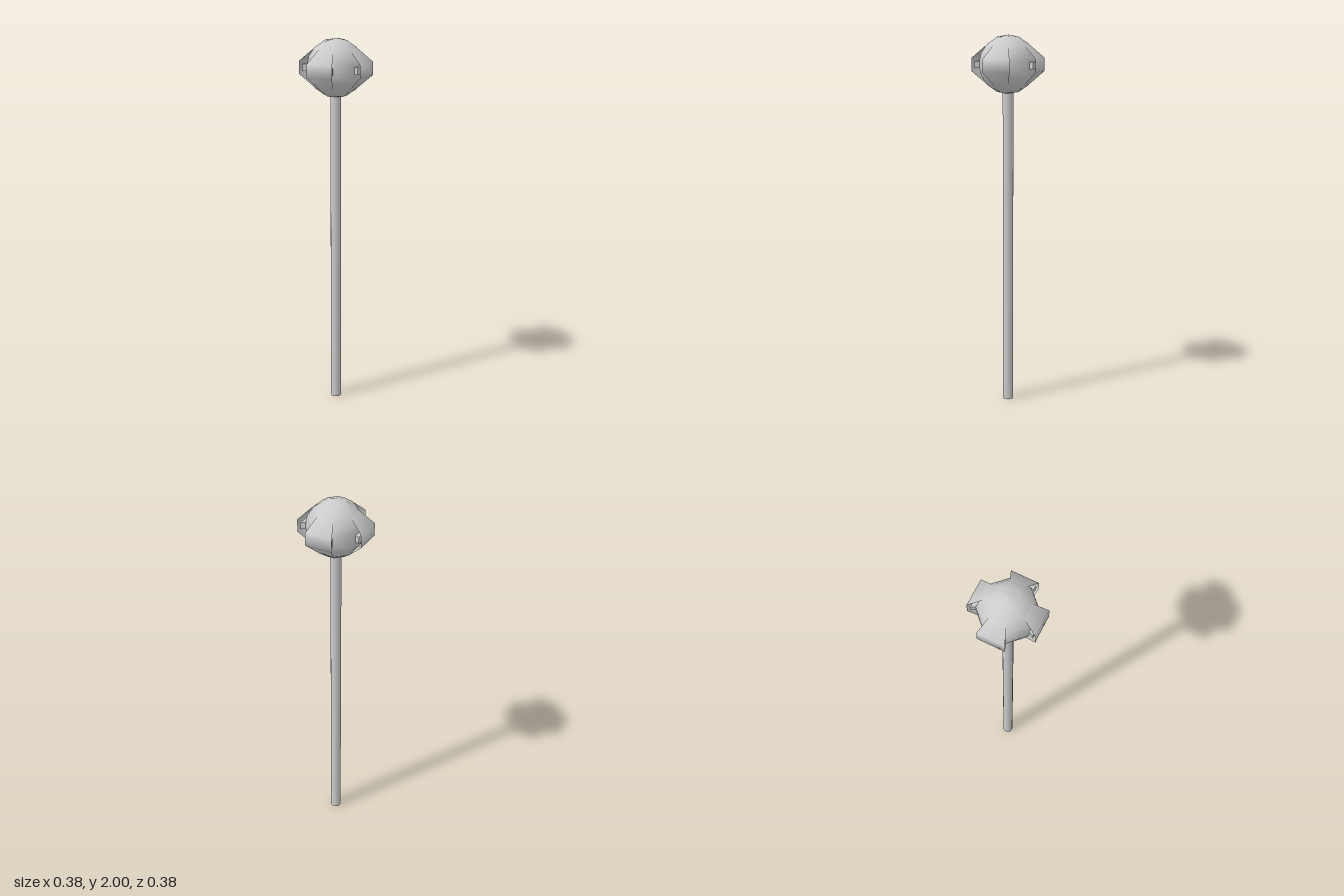
import * as THREE from 'three';

const CENTRE = 1.847; // height of the head's middle
const EIGHTH = Math.PI / 4;

// Mirrors an upper half profile [radius, height above centre], listed from equator to pole.
function fullProfile(half) {
  const lower = half.map(([r, h]) => new THREE.Vector2(r, CENTRE - h)).reverse();
  const upper = half.map(([r, h]) => new THREE.Vector2(r, CENTRE + h));
  return [...lower, ...upper];
}

export function createModel() {
  const group = new THREE.Group();
  const grey = new THREE.MeshStandardMaterial({ color: 0xcccccc });
  const thin = new THREE.MeshStandardMaterial({ color: 0xcccccc, side: THREE.DoubleSide });

  const add = (name, geometry, material) => {
    const mesh = new THREE.Mesh(geometry, material);
    mesh.name = name;
    group.add(mesh);
    return mesh;
  };

  // Long round shaft
  const shaft = add('shaft', new THREE.CylinderGeometry(0.028, 0.028, 1.71, 16), grey);
  shaft.position.y = 0.855;

  // Eight-sided ball with a narrow flat belt at the equator
  const ball = fullProfile([
    [0.15, 0.018], [0.141, 0.06], [0.108, 0.108], [0.058, 0.141], [0, 0.153],
  ]);
  add('ball', new THREE.LatheGeometry(ball, 8), grey);

  // Four raised shell plates, open at the sides, each with a spacer behind it
  const plate = fullProfile([
    [0.192, 0.034], [0.115, 0.1], [0.058, 0.143], [0.008, 0.153],
  ]);
  const plateGeometry = new THREE.LatheGeometry(plate, 1, EIGHTH, EIGHTH);

  const corner = (r, a) => new THREE.Vector2(r * Math.cos(a), r * Math.sin(a));
  const spacerShape = new THREE.Shape([
    corner(0.13, 0), corner(0.175, 0), corner(0.175, EIGHTH), corner(0.13, EIGHTH),
  ]);
  const spacerGeometry = new THREE.ExtrudeGeometry(spacerShape, { depth: 0.036, bevelEnabled: false });
  spacerGeometry.rotateX(Math.PI / 2); // shape now lies flat, thickness downwards
  spacerGeometry.translate(0, CENTRE + 0.018, 0);

  for (let i = 0; i < 4; i++) {
    const turn = (i * Math.PI) / 2;
    add('shellPlate', plateGeometry, thin).rotation.y = turn;
    add('plateSpacer', spacerGeometry, grey).rotation.y = turn;
  }

  return group;
}
